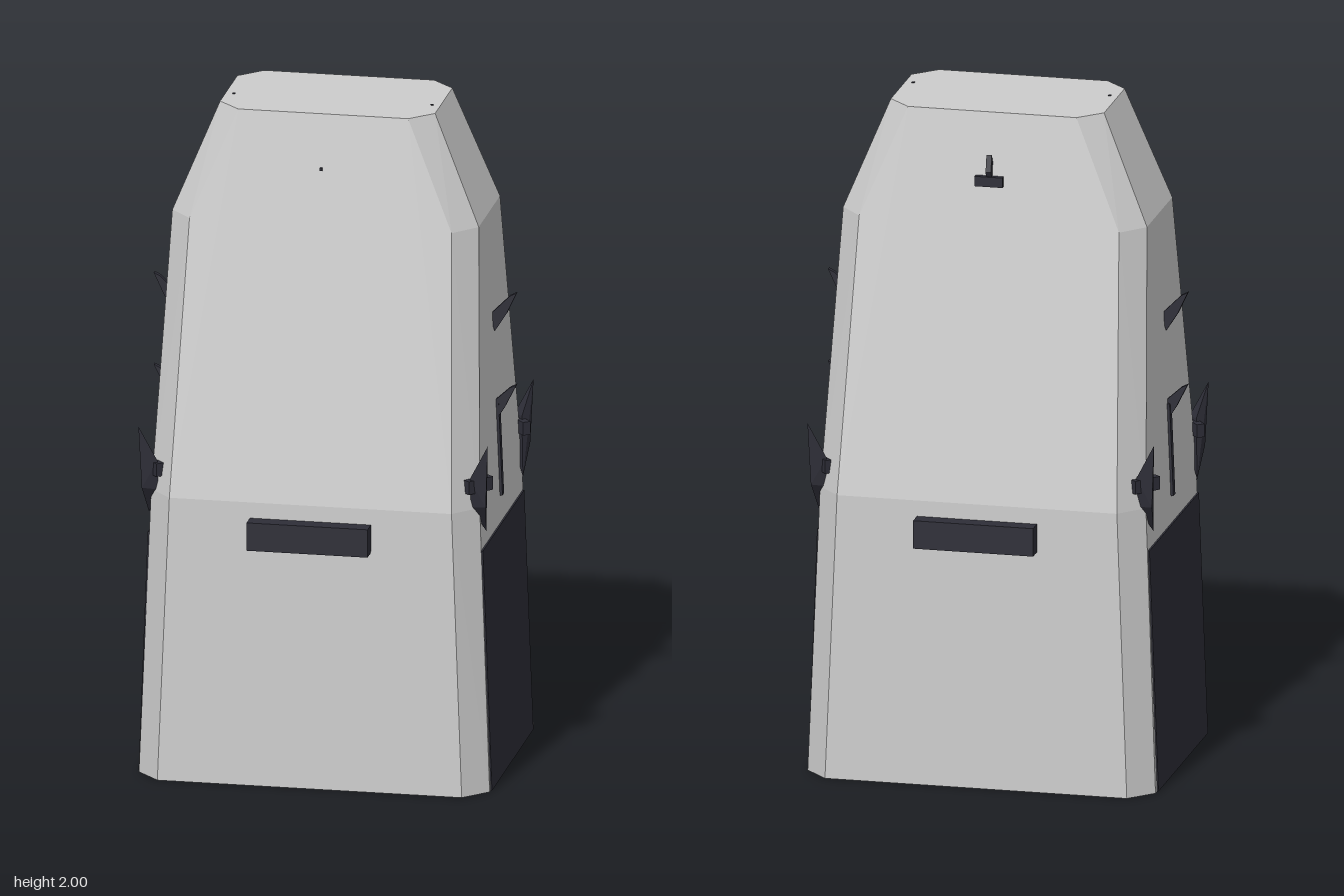
import * as THREE from 'three';
import { ConvexGeometry } from 'three/addons/geometries/ConvexGeometry.js';

const mat = (name, color) => Object.assign(new THREE.MeshStandardMaterial({ color, flatShading: true }), { name });

export function createModel() {
  const model = new THREE.Group();
  model.name = 'taperedTower';
  const hullGrey = mat('hullGrey', 0xcdcdcd);
  const darkSlate = mat('darkSlate', 0x2e2e38);

  const add = (name, geometry, material, x = 0, y = 0, z = 0) => {
    const mesh = new THREE.Mesh(geometry, material);
    mesh.name = name;
    mesh.position.set(x, y, z);
    model.add(mesh);
    return mesh;
  };
  const box = (name, w, h, d, x, y, z) => add(name, new THREE.BoxGeometry(w, h, d), darkSlate, x, y, z);
  const hull = (name, pts, material) =>
    add(name, new ConvexGeometry(pts.map(p => new THREE.Vector3(...p))), material);

  // Body: chamfered rectangles [y, half x, flat x, half z, flat z]
  const levels = [
    [0, 0.522, 0.453, 0.402, 0.33],
    [0.86, 0.489, 0.42, 0.388, 0.312],
    [1.67, 0.456, 0.39, 0.236, 0.16],
    [2, 0.32, 0.253, 0.197, 0.13],
  ];
  const body = [];
  for (const [y, hx, fx, hz, fz] of levels)
    for (const sx of [1, -1])
      for (const sz of [1, -1])
        body.push([sx * hx, y, sz * fz - 0.003], [sx * fx, y, sz * hz - 0.003]);
  hull('body', body, hullGrey);

  // Bars on the front and back
  box('frontBar', 0.36, 0.085, 0.08, 0, 0.77, 0.395);
  box('backBar', 0.36, 0.085, 0.08, 0, 0.77, -0.4);

  // Hooked fin cut from a thin plate, first coordinate pointing outward
  const fin = pts => {
    const g = new THREE.ExtrudeGeometry(
      new THREE.Shape(pts.map(p => new THREE.Vector2(...p))), { depth: 0.016, bevelEnabled: false });
    return g.translate(0, 0, -0.008);
  };

  for (const s of [1, -1]) {
    const side = s > 0 ? 'left' : 'right';

    // Large sloping side panel
    const panel = [];
    for (const z of [0.312, -0.312])
      panel.push([s * 0.526, 0, z], [s * 0.518, 0, z], [s * 0.499, 0.73, z], [s * 0.491, 0.73, z]);
    hull(side + 'Panel', panel, darkSlate);

    // Two fins and the strip below the lower one
    const turn = s > 0 ? 0 : Math.PI;
    add(side + 'UpperFin', fin([[0.46, 1.36], [0.475, 1.31], [0.51, 1.365], [0.54, 1.43], [0.52, 1.42]]),
      darkSlate, 0, 0, 0.006).rotation.y = turn;
    add(side + 'LowerFin', fin([[0.465, 1.09], [0.48, 1.04], [0.505, 1.08], [0.54, 1.15], [0.52, 1.14]]),
      darkSlate, 0, 0, 0.006).rotation.y = turn;
    box(side + 'Strip', 0.018, 0.28, 0.025, s * 0.484, 0.95, 0.003).rotation.z = s * 0.04;

    // Pointed claws and crosspieces on the corners
    for (const t of [1, -1]) {
      const name = side + (t > 0 ? 'Front' : 'Back');
      const claw = [
        [0.52, 1.06, 0.345], [0.502, 0.78, 0.275], [0.465, 0.955, 0.335],
        [0.512, 0.87, 0.335], [0.465, 0.865, 0.325], [0.495, 0.96, 0.295],
      ];
      hull(name + 'Claw', claw.map(([x, y, z]) => [s * x, y, t * z]), darkSlate);
      box(name + 'Crosspiece', 0.025, 0.04, 0.09, s * 0.485, 0.93, t * 0.307).rotation.y = s * t * -0.7;
    }

    // Roof stud
    box(side + 'RoofStud', 0.008, 0.004, 0.008, s * 0.295, 2, 0.045);
  }

  // Small crosspiece and spike high on the back, stud on the front
  box('backCrosspiece', 0.084, 0.03, 0.018, 0, 1.8, -0.239);
  add('backSpike', fin([[0.21, 1.83], [0.225, 1.78], [0.25, 1.83], [0.238, 1.88]]), darkSlate)
    .rotation.y = Math.PI / 2;
  box('frontStud', 0.008, 0.008, 0.012, 0, 1.84, 0.222);

  return model;
}
